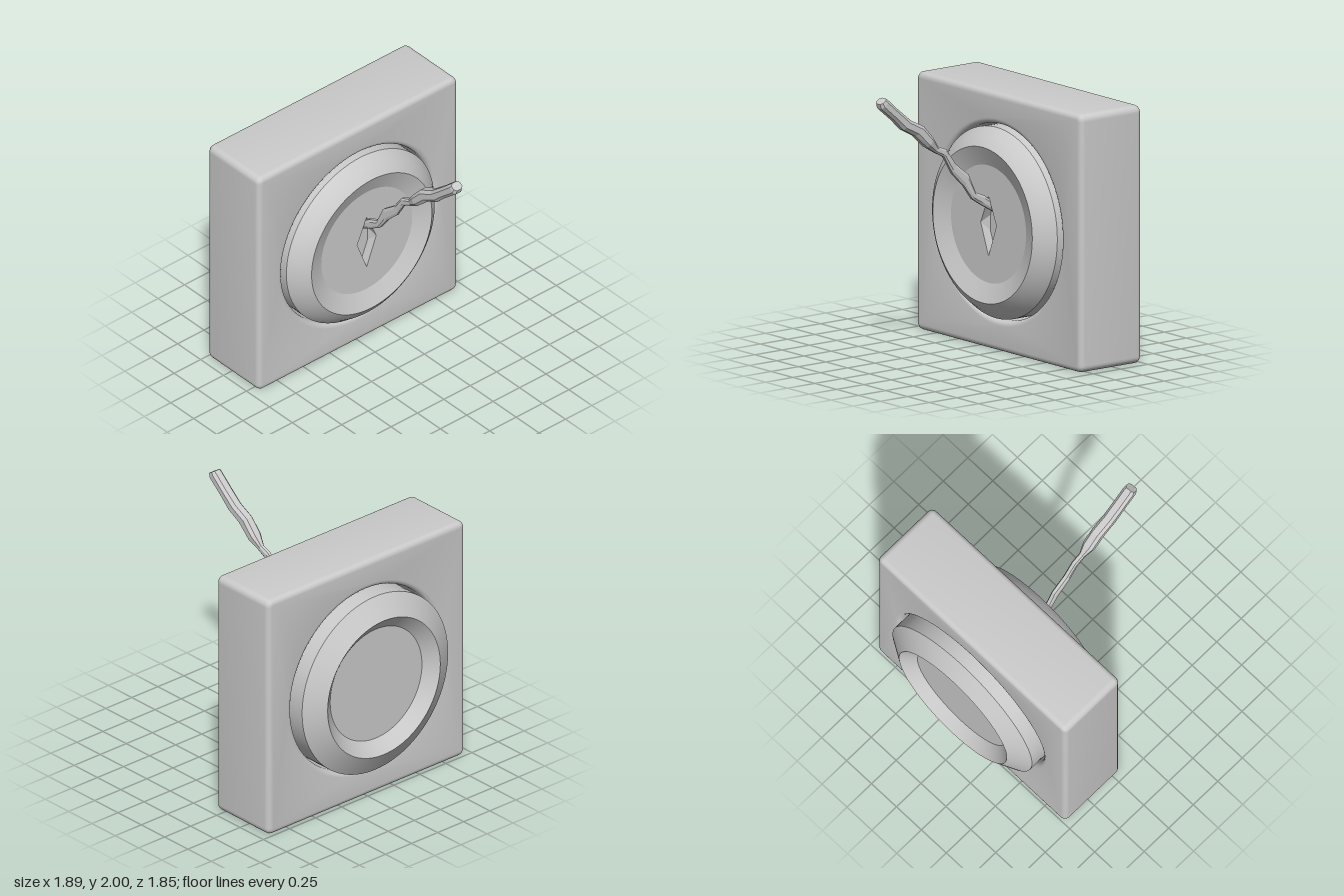
import * as THREE from 'three';
import { toCreasedNormals } from 'three/addons/utils/BufferGeometryUtils.js';

const CY = 0.945; // centre height of the block and dial
const DISC_Z = -0.09;
const FLOOR_Z = -0.16;

const grey = (options = {}) => new THREE.MeshStandardMaterial({ color: 0xcccccc, ...options });

function addMesh(group, name, geometry, material = grey()) {
  const mesh = new THREE.Mesh(geometry, material);
  mesh.name = name;
  group.add(mesh);
  return mesh;
}

// Joins equal-length loops of [x, y, z] points into a skin, optionally capped.
function loft(loops, capStart, capEnd) {
  const n = loops[0].length;
  const index = [];
  for (let s = 0; s < loops.length - 1; s++) {
    for (let i = 0; i < n; i++) {
      const a = s * n + i, b = s * n + (i + 1) % n;
      index.push(a, b, a + n, b, b + n, a + n);
    }
  }
  const last = (loops.length - 1) * n;
  for (let i = 1; i < n - 1; i++) {
    if (capStart) index.push(0, i + 1, i);
    if (capEnd) index.push(last, last + i, last + i + 1);
  }
  const geometry = new THREE.BufferGeometry();
  geometry.setAttribute('position', new THREE.Float32BufferAttribute(loops.flat(2), 3));
  geometry.setIndex(index);
  geometry.computeVertexNormals();
  return geometry;
}

// Square block with rounded edges and a round through-hole
function blockGeometry() {
  const bevel = 0.04, h = 0.945 - bevel, c = 0.012;
  const shape = new THREE.Shape();
  shape.moveTo(h - c, -h);
  shape.quadraticCurveTo(h, -h, h, -h + c);
  shape.lineTo(h, h - c);
  shape.quadraticCurveTo(h, h, h - c, h);
  shape.lineTo(-h + c, h);
  shape.quadraticCurveTo(-h, h, -h, h - c);
  shape.lineTo(-h, -h + c);
  shape.quadraticCurveTo(-h, -h, -h + c, -h);
  shape.closePath();
  const hole = new THREE.Path();
  hole.absarc(0, 0, 0.715 + bevel, 0, Math.PI * 2, true);
  shape.holes.push(hole);
  const geometry = new THREE.ExtrudeGeometry(shape, {
    depth: 0.56 - 2 * bevel, bevelSize: bevel, bevelThickness: bevel, bevelSegments: 5, curveSegments: 48,
  });
  geometry.translate(0, CY, -0.74 + bevel);
  return toCreasedNormals(geometry, 0.7);
}

// Turned dial body: back dish, outer wall, rounded front rim, front dish wall
function dialGeometry() {
  const profile = [
    [0, -0.84], [0.44, -0.84], [0.54, -0.925], [0.70, -0.83], [0.70, -0.16],
    [0.64, -0.085], [0.57, -0.035], [0.43, DISC_Z],
  ].map(([r, z]) => new THREE.Vector2(r, z));
  const geometry = new THREE.LatheGeometry(profile, 96);
  geometry.rotateX(Math.PI / 2);
  geometry.translate(0, CY, 0);
  return toCreasedNormals(geometry, 0.65);
}

export function createModel() {
  const model = new THREE.Group();
  model.name = 'leverSwitch';

  addMesh(model, 'block', blockGeometry());
  addMesh(model, 'dial', dialGeometry());

  // Front disc with a diamond opening
  const kite = [[0, 1.15], [-0.09, CY], [0, 0.71], [0.09, CY]];
  const disc = new THREE.Shape();
  disc.absarc(0, CY, 0.43, 0, Math.PI * 2);
  disc.holes.push(new THREE.Path(kite.map(([x, y]) => new THREE.Vector2(x, y))));
  const discGeometry = new THREE.ShapeGeometry(disc, 48);
  discGeometry.translate(0, 0, DISC_Z);
  addMesh(model, 'frontDisc', discGeometry);

  // Diamond pocket with sloping side corners
  const mouth = [[0, 1.15], [-0.09, CY], [-0.09, CY], [0, 0.71], [0.09, CY], [0.09, CY]]
    .map(([x, y]) => [x, y, DISC_Z]);
  const floor = [[0, 1.15], [-0.068, 0.99], [-0.068, 0.88], [0, 0.71], [0.068, 0.88], [0.068, 0.99]]
    .map(([x, y]) => [x, y, FLOOR_Z]);
  addMesh(model, 'leverPocket', loft([mouth, floor], false, true),
    grey({ flatShading: true, side: THREE.DoubleSide }));

  // Crooked lever: upper edge z, y, lower edge z, y, half width
  const stations = [
    [0.865, 2.00, 0.92, 1.965, 0.04],
    [0.845, 1.985, 0.91, 1.93, 0.045],
    [0.75, 1.90, 0.785, 1.825, 0.045],
    [0.64, 1.81, 0.71, 1.75, 0.045],
    [0.52, 1.75, 0.60, 1.69, 0.045],
    [0.435, 1.655, 0.49, 1.59, 0.045],
    [0.38, 1.58, 0.41, 1.54, 0.022],
    [0.305, 1.55, 0.325, 1.495, 0.022],
    [0.22, 1.43, 0.245, 1.36, 0.022],
    [0.10, 1.335, 0.14, 1.255, 0.022],
    [0.035, 1.195, 0.065, 1.15, 0.022],
    [-0.04, 1.165, -0.03, 1.09, 0.022],
    [-0.16, 1.08, -0.15, 1.02, 0.022],
  ];
  // Chamfered cross-section: fraction of half width, position from lower (0) to upper (1)
  const section = [[1, 0.25], [1, 0.75], [0.55, 1], [-0.55, 1], [-1, 0.75], [-1, 0.25], [-0.55, 0], [0.55, 0]];
  const loops = stations.map(([uz, uy, lz, ly, w]) => section.map(([u, v]) => [
    u * w, THREE.MathUtils.lerp(ly, uy, v), THREE.MathUtils.lerp(lz, uz, v),
  ]));
  loops.reverse();
  addMesh(model, 'lever', loft(loops, true, true), grey({ flatShading: true, side: THREE.DoubleSide }));

  return model;
}
